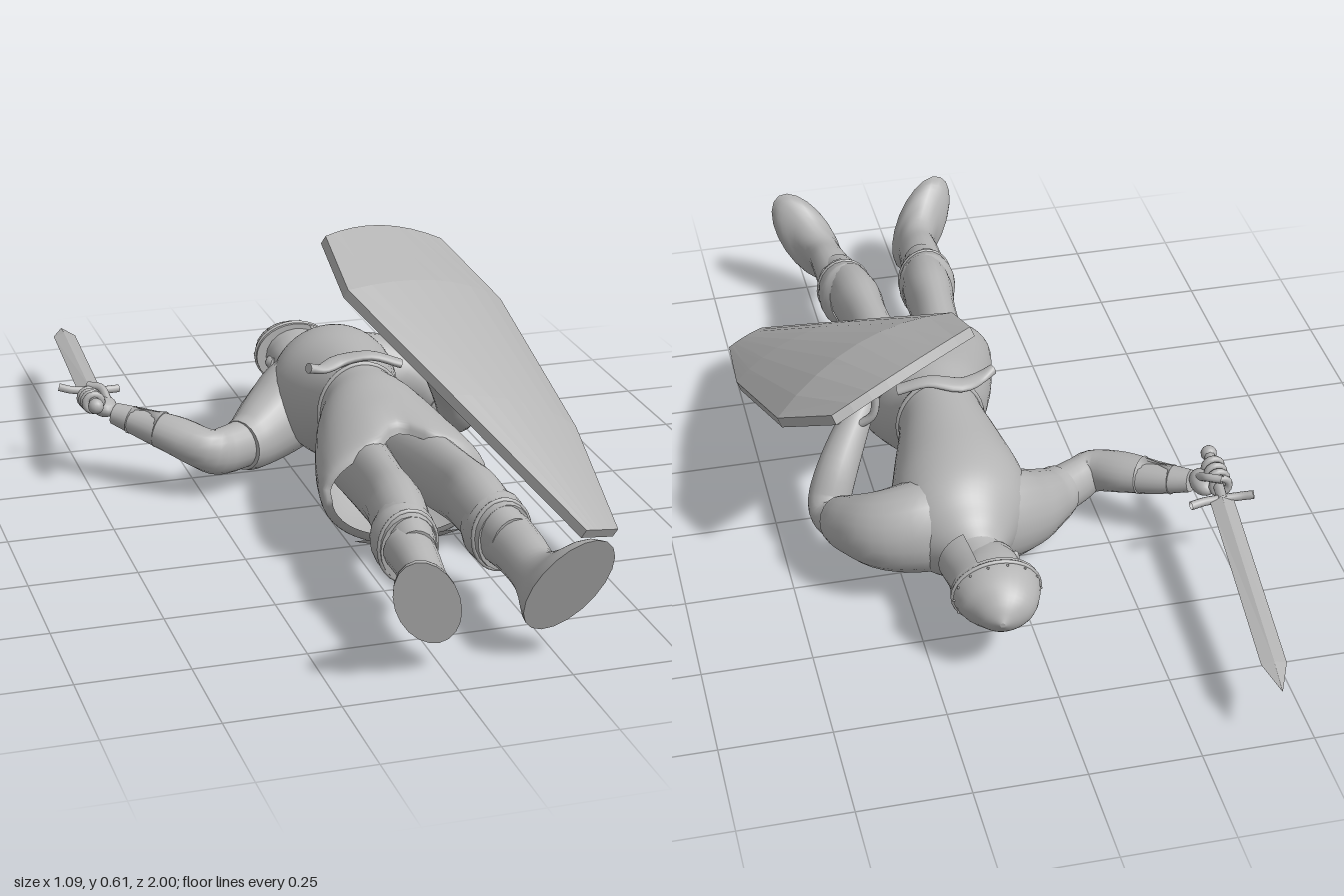
import * as THREE from 'three';

const steel = new THREE.MeshStandardMaterial({ color: 0xb4b4b4, side: THREE.DoubleSide });
steel.name = 'plain grey';
const V = (a) => new THREE.Vector3(...a);
const TAU = Math.PI * 2;

function part(parent, name, geometry, position = [0, 0, 0], scale = [1, 1, 1]) {
  const mesh = new THREE.Mesh(geometry, steel);
  mesh.name = name;
  mesh.position.set(...position);
  mesh.scale.set(...scale);
  parent.add(mesh);
}

// Skin elliptical sections [x, y, z, halfWidth, halfHeight] along a smooth path;
// an axis keeps all the sections parallel.
function loft(secs, { up = [0, 1, 0], axis = null, sides = 20, div = 4, arc = null, caps = true, flat = false } = {}) {
  const path = new THREE.CatmullRomCurve3(secs.map((s) => V(s.slice(0, 3))), false, 'catmullrom');
  const size = new THREE.CatmullRomCurve3(secs.map((s) => new THREE.Vector3(s[3], s[4], 0)), false, 'catmullrom');
  const rows = (secs.length - 1) * div, cols = arc ? sides + 1 : sides;
  const pos = [], idx = [], centres = [];
  for (let i = 0; i <= rows; i++) {
    const c = path.getPoint(i / rows), r = size.getPoint(i / rows);
    const t = axis ? V(axis).normalize() : path.getTangent(i / rows);
    const u = V(up).cross(t).normalize(), v = t.clone().cross(u);
    centres.push(c);
    for (let j = 0; j < cols; j++) {
      const a = arc ? arc[0] + (arc[1] - arc[0]) * j / sides : TAU * j / sides;
      const p = c.clone().addScaledVector(u, r.x * Math.cos(a)).addScaledVector(v, r.y * Math.sin(a));
      pos.push(p.x, p.y, p.z);
    }
  }
  for (let i = 0; i < rows; i++) for (let j = 0; j < sides; j++) {
    const k = (j + 1) % cols, a = i * cols + j, b = i * cols + k;
    idx.push(a, b, a + cols, b, b + cols, a + cols);
  }
  if (caps && !arc) for (const row of [0, rows]) {
    const base = pos.length / 3, c = centres[row];
    pos.push(...pos.slice(row * cols * 3, (row + 1) * cols * 3), c.x, c.y, c.z);
    for (let j = 0; j < cols; j++) {
      const k = (j + 1) % cols;
      idx.push(base + cols, base + (row ? j : k), base + (row ? k : j));
    }
  }
  let g = new THREE.BufferGeometry();
  g.setAttribute('position', new THREE.Float32BufferAttribute(pos, 3));
  g.setIndex(idx);
  if (flat) g = g.toNonIndexed();
  g.computeVertexNormals();
  return g;
}

const tube = (points, r, closed = false) =>
  new THREE.TubeGeometry(new THREE.CatmullRomCurve3(points.map(V), closed), 32, r, 8, closed);

// Elliptical band lying around the z axis.
const band = (x, y, z, rx, ry, r) =>
  tube([...Array(12)].map((_, i) => [x + rx * Math.cos(TAU * i / 12), y + ry * Math.sin(TAU * i / 12), z]), r, true);

function makeBody(root) {
  const g = loft([
    [0.115, 0.193, -0.455, 0.06, 0.058], [0.122, 0.195, -0.425, 0.082, 0.078], [0.128, 0.2, -0.385, 0.118, 0.115],
    [0.122, 0.203, -0.33, 0.148, 0.142], [0.112, 0.205, -0.25, 0.158, 0.153], [0.105, 0.212, -0.14, 0.135, 0.148],
    [0.1, 0.245, 0, 0.1, 0.114], [0.1, 0.22, 0.09, 0.135, 0.142], [0.1, 0.198, 0.19, 0.168, 0.15],
    [0.1, 0.188, 0.3, 0.192, 0.143], [0.1, 0.186, 0.355, 0.196, 0.13], [0.1, 0.188, 0.375, 0.182, 0.105],
  ], { sides: 48, caps: false, axis: [0, 0, 1] });
  // Round notch in the front of the hem.
  const p = g.attributes.position;
  for (let i = 0; i < p.count; i++) {
    const x = p.getX(i), y = p.getY(i), z = p.getZ(i), k = Math.max(0, (z - 0.2) / 0.17);
    const d = Math.min(1, Math.abs(x - 0.1) / 0.08);
    if (y > 0.2) p.setZ(i, z - k * (0.02 + 0.065 * Math.cos(d * Math.PI / 2) ** 2));
  }
  g.computeVertexNormals();
  part(root, 'tunic', g);
  // Pointed flap folded under the back of the hem.
  const flap = new THREE.BufferGeometry().setFromPoints([[-0.03, 0.08, 0.372], [0.23, 0.08, 0.372], [0.11, 0.012, 0.29]].map(V));
  flap.setIndex([0, 2, 1]);
  flap.computeVertexNormals();
  part(root, 'tunicFlap', flap);
  part(root, 'belt', band(0.1, 0.245, 0, 0.1, 0.114, 0.007));
  part(root, 'beltTail', loft([
    [0.2, 0.35, 0, 0.018, 0.01], [0.13, 0.372, -0.015, 0.02, 0.01], [0.06, 0.362, -0.03, 0.026, 0.012],
    [0.01, 0.355, -0.005, 0.02, 0.01], [-0.03, 0.366, 0.01, 0.012, 0.012],
  ]));
}

function makeHead(root) {
  const head = new THREE.Group();
  head.name = 'head';
  root.add(head);
  part(head, 'neck', loft([[0.115, 0.19, -0.52, 0.058, 0.055], [0.115, 0.192, -0.46, 0.058, 0.057], [0.118, 0.195, -0.41, 0.068, 0.068]]));
  part(head, 'face', loft([
    [0.1, 0.19, -0.6, 0.08, 0.068], [0.104, 0.19, -0.545, 0.078, 0.067], [0.1, 0.19, -0.51, 0.076, 0.063],
    [0.09, 0.19, -0.47, 0.064, 0.052], [0.078, 0.19, -0.445, 0.05, 0.037], [0.074, 0.19, -0.432, 0.028, 0.022],
  ]));
  part(head, 'nose', loft([[0.035, 0.19, -0.55, 0.008, 0.008], [0.024, 0.19, -0.515, 0.015, 0.013], [0.03, 0.19, -0.502, 0.012, 0.016]], { sides: 8 }));
  part(head, 'lips', new THREE.SphereGeometry(0.016, 12, 8), [0.033, 0.19, -0.475], [0.6, 1.3, 0.6]);
  part(head, 'helmet', loft([
    [0.1, 0.19, -0.56, 0.1, 0.08], [0.1, 0.19, -0.59, 0.096, 0.077], [0.102, 0.188, -0.63, 0.08, 0.064],
    [0.108, 0.186, -0.665, 0.047, 0.04], [0.112, 0.185, -0.688, 0.006, 0.006],
  ], { sides: 28 }));
  part(head, 'helmetBand', band(0.1, 0.19, -0.575, 0.098, 0.079, 0.005));
  for (let i = 0; i < 14; i++) {
    const a = TAU * i / 14;
    part(head, 'rivet', new THREE.SphereGeometry(0.003, 6, 4), [0.1 + 0.098 * Math.cos(a), 0.19 + 0.079 * Math.sin(a), -0.588]);
  }
  part(head, 'neckGuard', loft([
    [0.11, 0.19, -0.57, 0.09, 0.078], [0.115, 0.19, -0.51, 0.08, 0.073], [0.12, 0.19, -0.45, 0.084, 0.075],
  ], { arc: [-1.25, 1.25] }));
}

function makeLeg(root, side, m) {
  const leg = new THREE.Group();
  leg.name = side + 'Leg';
  root.add(leg);
  const mx = (secs) => secs.map(([x, ...r]) => [m(x), ...r]);
  const flip = side === 'left' ? -1 : 1;
  part(leg, 'thigh', loft(mx([
    [0.035, 0.2, 0.15, 0.075, 0.085], [0.022, 0.215, 0.35, 0.06, 0.085], [0.012, 0.225, 0.48, 0.055, 0.082],
    [0.006, 0.228, 0.57, 0.062, 0.08], [-0.003, 0.21, 0.67, 0.056, 0.074], [-0.012, 0.2, 0.74, 0.05, 0.065],
  ])));
  part(leg, 'bootCuff', loft(mx([
    [0.002, 0.215, 0.61, 0.062, 0.08], [-0.006, 0.204, 0.645, 0.072, 0.088], [-0.01, 0.2, 0.7, 0.062, 0.078],
  ])));
  part(leg, 'bootStrap', band(m(-0.008), 0.201, 0.685, 0.064, 0.08, 0.006));
  // Boot shaft widening into a tilted flat sole, toes up and outward.
  part(leg, 'boot', loft(mx([
    [-0.01, 0.2, 0.69, 0.056, 0.07], [-0.016, 0.198, 0.78, 0.05, 0.062], [-0.021, 0.188, 0.855, 0.045, 0.06],
    [-0.034, 0.19, 0.9, 0.05, 0.088], [-0.05, 0.197, 0.932, 0.063, 0.122], [-0.056, 0.196, 0.957, 0.067, 0.133],
  ]), { up: [-0.47 * flip, 0.82, 0.33], axis: [0.155 * flip, -0.27, 0.89] }));
}

function makeArms(root) {
  part(root, 'rightSleeve', loft([
    [0.12, 0.19, -0.32, 0.09, 0.115], [0.03, 0.172, -0.29, 0.093, 0.115], [-0.045, 0.142, -0.243, 0.086, 0.096],
    [-0.11, 0.122, -0.192, 0.068, 0.076], [-0.15, 0.12, -0.162, 0.058, 0.063],
  ]));
  part(root, 'rightArm', loft([
    [-0.12, 0.122, -0.185, 0.055, 0.06], [-0.195, 0.122, -0.14, 0.047, 0.058], [-0.24, 0.132, -0.124, 0.043, 0.053],
    [-0.3, 0.155, -0.175, 0.052, 0.046], [-0.36, 0.17, -0.23, 0.042, 0.038], [-0.43, 0.188, -0.285, 0.027, 0.026],
  ]));
  part(root, 'rightCuff', loft([[-0.335, 0.165, -0.208, 0.049, 0.044], [-0.395, 0.178, -0.258, 0.037, 0.034]], { div: 1 }));
  part(root, 'rightPalm', new THREE.SphereGeometry(0.04, 16, 12), [-0.45, 0.2, -0.31], [0.75, 0.6, 1.1]);
  for (let i = 0; i < 4; i++)
    part(root, 'finger', new THREE.TorusGeometry(0.02, 0.009, 8, 16), [-0.481, 0.221 - i * 0.003, -0.285 - i * 0.021]);
  part(root, 'rightThumb', tube([[-0.44, 0.21, -0.3], [-0.45, 0.235, -0.34], [-0.48, 0.238, -0.36]], 0.01));

  part(root, 'leftSleeve', loft([
    [0.13, 0.2, -0.315, 0.09, 0.115], [0.22, 0.2, -0.325, 0.092, 0.112], [0.3, 0.192, -0.31, 0.084, 0.094],
    [0.355, 0.172, -0.255, 0.064, 0.073], [0.38, 0.15, -0.2, 0.053, 0.058],
  ]));
  part(root, 'leftArm', loft([
    [0.36, 0.165, -0.24, 0.055, 0.055], [0.39, 0.14, -0.17, 0.045, 0.048], [0.39, 0.16, -0.13, 0.045, 0.05],
    [0.365, 0.22, -0.1, 0.045, 0.048], [0.32, 0.29, -0.05, 0.04, 0.04], [0.275, 0.35, -0.01, 0.027, 0.027],
  ], { up: [1, 0.3, 0.2] }));
  part(root, 'leftHand', new THREE.SphereGeometry(0.04, 16, 12), [0.26, 0.375, 0.0], [0.8, 1, 0.8]);
}

function makeSword(root) {
  const sword = new THREE.Group();
  sword.name = 'sword';
  root.add(sword);
  part(sword, 'blade', loft([
    [-0.468, 0.211, -0.4, 0.028, 0.01], [-0.425, 0.168, -0.92, 0.028, 0.007], [-0.418, 0.161, -1, 0.001, 0.001],
  ], { sides: 4, div: 1, flat: true }));
  part(sword, 'grip', tube([[-0.484, 0.23, -0.24], [-0.47, 0.211, -0.4]], 0.013));
  part(sword, 'pommel', new THREE.SphereGeometry(0.019, 14, 10), [-0.484, 0.228, -0.243]);
  part(sword, 'guard', tube([[-0.54, 0.222, -0.41], [-0.51, 0.215, -0.4], [-0.43, 0.209, -0.394], [-0.395, 0.207, -0.4]], 0.01));
}

function makeShield(root) {
  const shield = new THREE.Group();
  shield.name = 'shield';
  root.add(shield);
  const inward = V([0.36, 0.86, 0.37]).multiplyScalar(-0.024);
  // Rows of left edge, raised middle, right edge, from top to tip.
  const rows = [
    [[0.068, 0.622, -0.18], [0.24, 0.604, -0.28], [0.41, 0.54, -0.33]],
    [[0.069, 0.545, 0], [0.3, 0.53, -0.055], [0.505, 0.43, -0.16]],
    [[0.23, 0.37, 0.28], [0.4, 0.335, 0.285], [0.542, 0.25, 0.26]],
    [[0.427, 0.155, 0.62], [0.472, 0.145, 0.606], [0.517, 0.132, 0.585]],
  ].map((r) => {
    const [a, m, b] = r.map(V);
    const ctrl = m.clone().multiplyScalar(2).addScaledVector(a, -0.5).addScaledVector(b, -0.5);
    return new THREE.QuadraticBezierCurve3(a, ctrl, b).getPoints(8);
  });
  const pos = [], idx = [];
  const quad = (...corners) => {
    const n = pos.length / 3;
    for (const p of corners) pos.push(p.x, p.y, p.z);
    idx.push(n, n + 1, n + 2, n, n + 2, n + 3);
  };
  const back = (p) => p.clone().add(inward);
  for (let i = 0; i < 3; i++) {
    for (let j = 0; j < 8; j++) {
      const [a, b, c, d] = [rows[i][j], rows[i + 1][j], rows[i + 1][j + 1], rows[i][j + 1]];
      quad(a, b, c, d);
      quad(back(a), back(d), back(c), back(b));
    }
    const [a, b, c, d] = [rows[i][0], rows[i + 1][0], rows[i][8], rows[i + 1][8]];
    quad(a, back(a), back(b), b);
    quad(c, d, back(d), back(c));
  }
  for (let j = 0; j < 8; j++) {
    const [a, b, c, d] = [rows[0][j], rows[0][j + 1], rows[3][j], rows[3][j + 1]];
    quad(a, b, back(b), back(a));
    quad(c, back(c), back(d), d);
  }
  const g = new THREE.BufferGeometry();
  g.setAttribute('position', new THREE.Float32BufferAttribute(pos, 3));
  g.setIndex(idx);
  g.computeVertexNormals();
  part(shield, 'shieldBoard', g);
  // Hand grip and forearm strap behind the board.
  part(shield, 'handGrip', tube([[0.21, 0.46, 0.02], [0.22, 0.39, 0], [0.29, 0.385, 0.01], [0.31, 0.455, 0.03]], 0.01));
  part(shield, 'armStrap', tube([[0.27, 0.48, -0.06], [0.275, 0.34, -0.075], [0.34, 0.31, -0.05], [0.37, 0.44, -0.03]], 0.01));
}

export function createModel() {
  const root = new THREE.Group();
  root.name = 'recliningSoldier';
  makeBody(root);
  makeHead(root);
  makeLeg(root, 'right', (x) => x);
  makeLeg(root, 'left', (x) => 0.195 - x);
  makeArms(root);
  makeSword(root);
  makeShield(root);
  return root;
}
